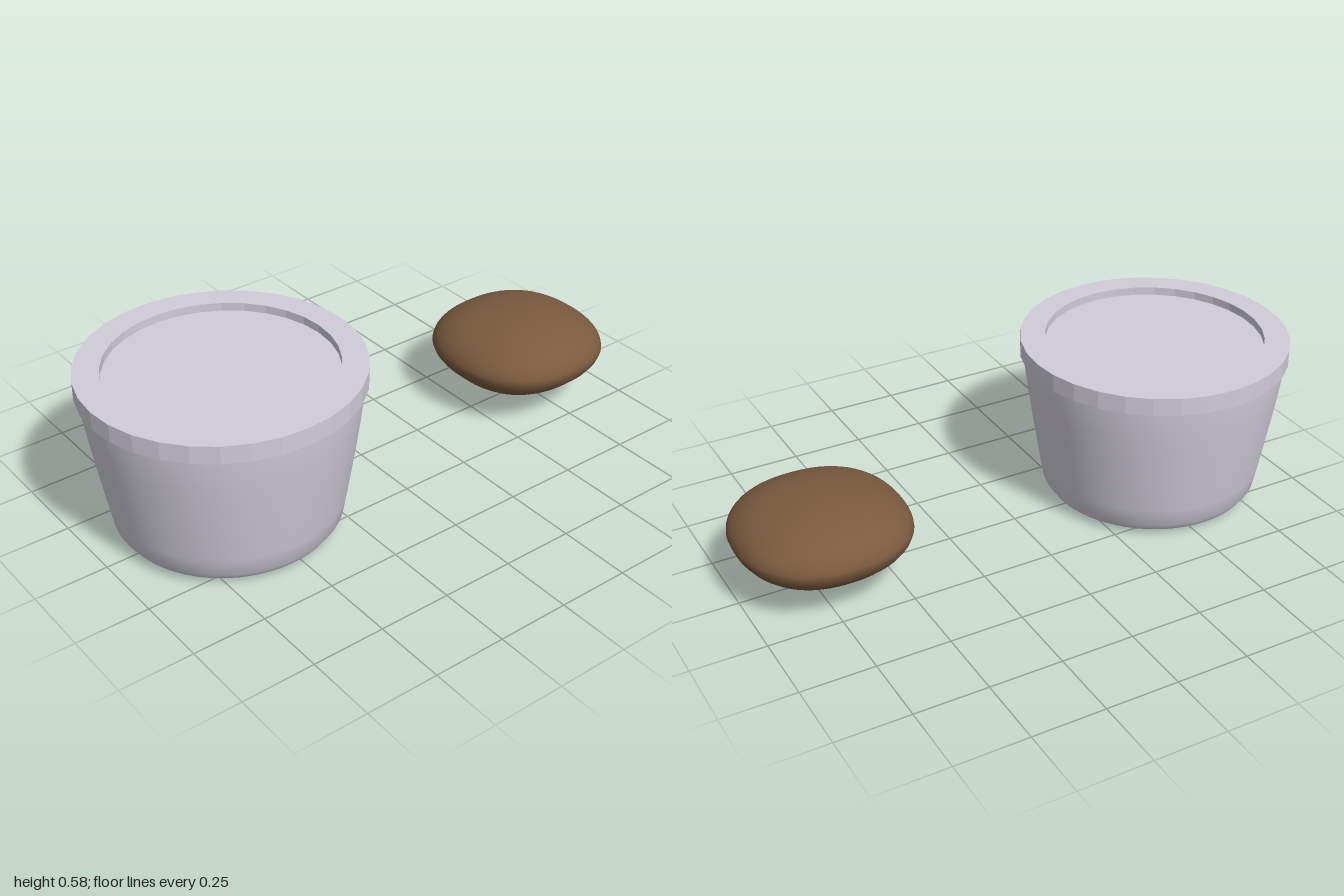
import * as THREE from 'three';
import { mergeVertices, toCreasedNormals } from 'three/addons/utils/BufferGeometryUtils.js';

const lathe = (points, segments) =>
  new THREE.LatheGeometry(points.map(([r, y]) => new THREE.Vector2(r, y)), segments);

// Flat-bottomed pebble: a lathe whose round sections are pushed towards a soft square
function pebbleGeometry() {
  const midY = 0.197, radius = 0.29;
  const profile = [[0, 0.093], [0.1, 0.093], [0.17, 0.094], [0.19, 0.097], [0.207, 0.105],
    [0.24, 0.128], [0.265, 0.151], [0.282, 0.174]];
  for (let i = 0; i <= 16; i++) {
    const a = (i / 16) * Math.PI / 2;
    profile.push([i === 16 ? 0 : radius * Math.cos(a), midY + 0.131 * Math.sin(a)]);
  }
  let geometry = lathe(profile, 64);
  const p = geometry.attributes.position, n = 2.3;
  for (let i = 0; i < p.count; i++) {
    const x = p.getX(i), z = p.getZ(i), r = Math.hypot(x, z);
    if (r < 1e-6) continue;
    const k = (Math.abs(x / r) ** n + Math.abs(z / r) ** n) ** (-1 / n);
    p.setX(i, x * k);
    p.setZ(i, z * k);
  }
  // Weld the seam so that the shading is continuous
  geometry.deleteAttribute('uv');
  geometry.deleteAttribute('normal');
  geometry = mergeVertices(geometry, 1e-5);
  geometry.computeVertexNormals();
  return geometry;
}

export function createModel() {
  const model = new THREE.Group();
  const add = (name, geometry, color, x) => {
    const material = new THREE.MeshStandardMaterial({ color });
    const mesh = new THREE.Mesh(geometry, material);
    mesh.name = name;
    mesh.position.x = x;
    model.add(mesh);
  };
  const tubColor = 0xd0ccd8, tubX = -0.543;

  // Tapered tub with a rounded foot
  const tub = lathe([[0, 0], [0.15, 0.003], [0.325, 0.006], [0.355, 0.018], [0.374, 0.045],
    [0.386, 0.11], [0.401, 0.2], [0.417, 0.3], [0.432, 0.4], [0.441, 0.47], [0.445, 0.53]], 64);
  add('tub', toCreasedNormals(tub, 0.5), tubColor, tubX);

  // Faceted lid with a sunken top
  const lid = lathe([[0, 0.516], [0.457, 0.516], [0.457, 0.577], [0.372, 0.577],
    [0.372, 0.549], [0, 0.549]], 32);
  add('lid', toCreasedNormals(lid, 0.1), tubColor, tubX);

  add('pebble', pebbleGeometry(), 0x7a5a3e, 0.708);
  return model;
}
